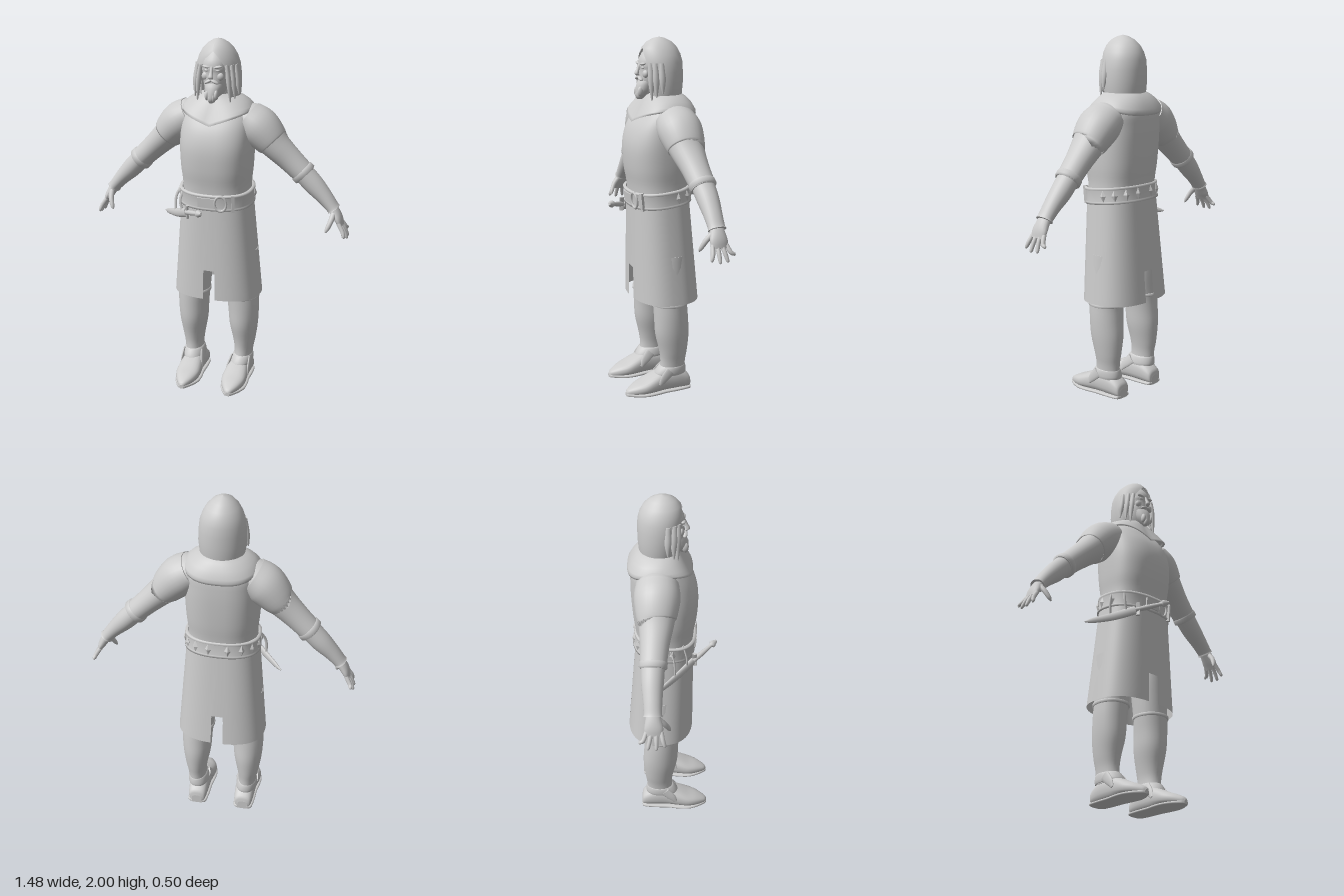
import * as THREE from 'three';

const V = (x, y, z) => new THREE.Vector3(x, y, z);
const UP = V(0, 1, 0), FWD = V(0, 0, 1);
const grey = new THREE.MeshStandardMaterial({ color: 0xcccccc, side: THREE.DoubleSide });
grey.name = 'plain grey';

// Rounded-box cross-section: e = 2 is an ellipse, larger is squarer
function oval(t, e = 2) {
  const f = (a) => Math.sign(a) * Math.pow(Math.abs(a), 2 / e);
  return [f(Math.cos(t)), f(Math.sin(t))];
}

// Skin a list of point rows, optionally wrapped around and capped
function skin(rows, closed = true, caps = false) {
  const pos = [], idx = [], n = rows[0].length;
  rows.forEach((r) => r.forEach((p) => pos.push(p.x, p.y, p.z)));
  for (let i = 0; i < rows.length - 1; i++) {
    for (let j = 0; j < (closed ? n : n - 1); j++) {
      const k = (j + 1) % n, a = i * n + j, b = i * n + k;
      idx.push(a, a + n, b, b, a + n, b + n);
    }
  }
  if (caps) [rows[0], rows[rows.length - 1]].forEach((r, end) => {
    const base = pos.length / 3, c = V(0, 0, 0);
    r.forEach((p) => { pos.push(p.x, p.y, p.z); c.addScaledVector(p, 1 / n); });
    pos.push(c.x, c.y, c.z);
    for (let j = 0; j < n; j++) {
      const a = base + j, b = base + (j + 1) % n;
      idx.push(base + n, end ? b : a, end ? a : b);
    }
  });
  const g = new THREE.BufferGeometry();
  g.setAttribute('position', new THREE.Float32BufferAttribute(pos, 3));
  g.setIndex(idx);
  g.computeVertexNormals();
  return g;
}

// Smooth sweep through sections [cx, cy, cz, ru, rv, squareness]; v is the second axis, w a fixed direction
function sweep(secs, { v = FWD, w = null, n = 28, steps = 4, caps = true } = {}) {
  const path = new THREE.CatmullRomCurve3(secs.map((s) => V(s[0], s[1], s[2])), false, 'catmullrom');
  const size = new THREE.CatmullRomCurve3(secs.map((s) => V(s[3], s[4], s[5] || 2)), false, 'catmullrom');
  const rows = [], m = (secs.length - 1) * steps;
  for (let i = 0; i <= m; i++) {
    const c = path.getPoint(i / m), r = size.getPoint(i / m);
    const d = w || path.getTangent(i / m);
    const u = d.clone().cross(v).normalize();
    const vv = u.clone().cross(d).normalize();
    rows.push(Array.from({ length: n }, (_, j) => {
      const [a, b] = oval((j / n) * Math.PI * 2, r.z);
      return c.clone().addScaledVector(u, a * r.x).addScaledVector(vv, b * r.y);
    }));
  }
  return skin(rows, true, caps);
}

export function createModel() {
  const model = new THREE.Group();
  model.name = 'hoodedMan';
  const add = (name, geo, parent = model) => {
    const mesh = new THREE.Mesh(geo, grey);
    mesh.name = name;
    parent.add(mesh);
    return mesh;
  };
  const ball = (name, p, s, parent = model) => {
    const b = add(name, new THREE.SphereGeometry(1, 16, 12), parent);
    b.position.set(...p);
    b.scale.set(...s);
    return b;
  };
  const upright = (secs) => secs.map(([y, rx, front, back, e, cx = 0]) =>
    [cx, y, (front + back) / 2, rx, (front - back) / 2, e]);

  // Tunic body: [height, half width, front z, back z, squareness]
  add('torso', sweep(upright([[1.09, 0.195, 0.11, -0.195, 2.4], [1.2, 0.19, 0.12, -0.2, 2.4],
    [1.3, 0.198, 0.136, -0.212, 2.5], [1.42, 0.202, 0.14, -0.22, 2.6], [1.52, 0.2, 0.115, -0.222, 2.6],
    [1.6, 0.192, 0.065, -0.215, 2.6], [1.65, 0.16, 0.025, -0.18, 2.3], [1.69, 0.08, 0.01, -0.13, 2]]),
    { w: UP, n: 48 }));
  add('neck', sweep(upright([[1.62, 0.075, 0.02, -0.13], [1.69, 0.065, 0.015, -0.12], [1.78, 0.06, 0.01, -0.11]]), { w: UP }));

  // Shoulder mantle, pointed in front and rolled at the back
  const mantleRows = [[0.1, 0.02], [0, 0], [-0.03, 0.1], [0.0, 0.25], [0.22, 0.55], [0.5, 0.78], [0.8, 0.93], [1, 1]];
  add('mantle', skin(mantleRows.map(([k, j]) => Array.from({ length: 64 }, (_, i) => {
    const t = (i / 64) * Math.PI * 2, [c, s] = oval(t, 2.6), f = Math.sin(t);
    const low = f > 0 ? 1.55 + 0.07 * Math.abs(c) : 1.62 + 0.04 * f;
    const kk = j > 0.02 ? THREE.MathUtils.lerp(k, j, Math.max(0, f)) : k;
    const outer = V(0.195 * c, low, -0.06 + (s > 0 ? 0.172 : 0.175) * s);
    const inner = V(0.08 * Math.cos(t), 1.71, -0.06 + 0.085 * f);
    return V(THREE.MathUtils.lerp(outer.x, inner.x, kk), THREE.MathUtils.lerp(outer.y, inner.y, j),
      THREE.MathUtils.lerp(outer.z, inner.z, kk));
  }))));

  // Skirt in two halves, slit front and back, over a shorter under-skirt
  for (const [name, turn] of [['skirtLeft', 0], ['skirtRight', Math.PI]]) {
    const rows = [];
    for (let i = 0; i <= 16; i++) {
      const y = 0.545 + (i / 16) * 0.585, q = (1.13 - y) / 0.585;
      const rx = 0.2 + 0.05 * q, front = 0.118, back = -0.2 - 0.05 * q;
      const gap = 0.034 * THREE.MathUtils.clamp((1.03 - y) / 0.33, 0, 1);
      const g = Math.asin(Math.pow(gap / rx, 1.25));
      rows.push(Array.from({ length: 33 }, (_, j) => {
        const [a, b] = oval(-Math.PI / 2 + g + (j / 32) * (Math.PI - 2 * g) + turn, 2.5);
        return V(rx * a, y, (front + back) / 2 + (b * (front - back)) / 2);
      }));
    }
    add(name, skin(rows, false));
  }
  add('underSkirt', sweep(upright([[0.715, 0.222, 0.106, -0.222, 2.5], [1.12, 0.188, 0.106, -0.19, 2.5]]),
    { w: UP, n: 48, caps: false }));

  // Belt with raised rims, studs and an oval buckle; it sits higher at the back
  const belt = new THREE.Group();
  belt.name = 'belt';
  belt.position.set(0, 1.142, -0.04);
  belt.rotation.x = 0.1;
  model.add(belt);
  const band = [[-0.045, 0.198], [-0.045, 0.21], [-0.033, 0.21], [-0.03, 0.205], [0.03, 0.205], [0.033, 0.21], [0.045, 0.21], [0.045, 0.195]];
  add('beltBand', sweep(band.map(([y, r]) => [0, y, 0, r, r - 0.037, 2.4]), { w: UP, n: 56, steps: 1, caps: false }), belt);
  for (let i = 0; i < 9; i++) {
    const t = Math.PI + ((i - 0.5) / 8) * Math.PI, [a, b] = oval(t, 2.4);
    const stud = add('beltStud', new THREE.OctahedronGeometry(1), belt);
    stud.position.set(0.207 * a, 0, 0.17 * b);
    stud.scale.set(0.018, 0.034, 0.012);
    stud.rotation.y = Math.PI / 2 - t;
  }
  const buckle = add('buckle', new THREE.TorusGeometry(0.036, 0.007, 8, 28), belt);
  buckle.position.set(0.07, 0, 0.166);
  buckle.rotation.y = 0.12;
  buckle.scale.set(0.9, 1.2, 1);
  const tongue = add('buckleTongue', new THREE.BoxGeometry(0.1, 0.055, 0.012), belt);
  tongue.position.set(-0.01, 0, 0.168);
  const keeper = add('beltKeeper', new THREE.BoxGeometry(0.018, 0.1, 0.02), belt);
  keeper.position.set(0.135, 0, 0.146);
  keeper.rotation.y = 0.4;

  // Dagger slung on the right hip with two hanging straps
  const at = (t, lift = 0) => [-0.33 + 0.33 * t, 0.985 + 0.115 * t + lift, -0.08 + 0.325 * t];
  add('daggerSheath', sweep([[...at(0), 0.003, 0.003], [...at(0.1, -0.004), 0.016, 0.008], [...at(0.35, -0.008), 0.024, 0.011],
    [...at(0.6), 0.026, 0.013]], { v: V(0.7, 0, -0.7), n: 12 }));
  add('daggerGuard', sweep([[...at(0.63, -0.035), 0.01, 0.014], [...at(0.63, 0.04), 0.01, 0.014]], { n: 10, steps: 1 }));
  add('daggerGrip', sweep([[...at(0.6), 0.012, 0.012], [...at(0.75), 0.014, 0.014], [...at(0.9), 0.011, 0.011],
    [...at(0.93), 0.02, 0.02], [...at(1), 0.007, 0.007]], { v: UP, n: 12 }));
  for (const [x0, z0, t] of [[-0.165, 0.06, 0.5], [-0.195, -0.01, 0.3]]) {
    const end = at(t);
    add('daggerStrap', sweep([[x0, 1.18, z0, 0.008, 0.005], [(x0 + end[0]) / 2 - 0.015, 1.11, (z0 + end[2]) / 2 + 0.01, 0.008, 0.005],
      [...end, 0.008, 0.005]], { n: 8 }));
  }

  // Head and face
  const head = new THREE.Group();
  head.name = 'head';
  model.add(head);
  add('face', sweep(upright([[1.69, 0.035, 0.045, -0.06], [1.73, 0.055, 0.06, -0.08], [1.78, 0.067, 0.066, -0.1, 2.2],
    [1.83, 0.072, 0.064, -0.1, 2.2], [1.855, 0.073, 0.067, -0.1, 2.2], [1.9, 0.07, 0.056, -0.1], [1.96, 0.035, 0.01, -0.08]]), { w: UP }), head);
  add('nose', sweep([[0, 1.865, 0.06, 0.008, 0.008], [0, 1.835, 0.072, 0.009, 0.009], [0, 1.81, 0.081, 0.014, 0.012],
    [0, 1.798, 0.07, 0.01, 0.008]], { w: UP, n: 14 }), head);
  for (const s of [1, -1]) {
    ball('brow', [0.03 * s, 1.862, 0.056], [0.026, 0.008, 0.014], head).rotation.z = 0.15 * s;
    ball('eye', [0.029 * s, 1.843, 0.055], [0.014, 0.007, 0.01], head);
    ball('cheek', [0.04 * s, 1.81, 0.045], [0.022, 0.022, 0.016], head);
    ball('moustache', [0.018 * s, 1.785, 0.066], [0.024, 0.009, 0.014], head).rotation.z = -0.45 * s;
  }
  add('beard', sweep(upright([[1.67, 0.008, 0.075, 0.05], [1.69, 0.025, 0.086, 0.02], [1.72, 0.042, 0.085, -0.01],
    [1.75, 0.05, 0.078, -0.02], [1.775, 0.055, 0.066, -0.03]]), { w: UP, n: 20 }), head);
  for (const [x, y] of [[-0.025, 1.69], [-0.008, 1.675], [0.012, 1.68], [0.027, 1.695]])
    ball('beardCurl', [x, y + 0.02, 0.068], [0.012, 0.027, 0.018], head);

  // Hood-like hair open at the face: [height, half width, front z, back z, half opening]
  const hair = [[1.64, 0.11, 0.03, -0.165, 0.085], [1.7, 0.12, 0.045, -0.175, 0.084], [1.76, 0.126, 0.055, -0.18, 0.083],
    [1.82, 0.124, 0.062, -0.18, 0.077], [1.87, 0.118, 0.063, -0.178, 0.062], [1.91, 0.105, 0.059, -0.167, 0.036],
    [1.945, 0.085, 0.046, -0.148, 0], [1.975, 0.056, 0.02, -0.118, 0], [1.993, 0.027, -0.015, -0.082, 0], [2, 0.001, -0.048, -0.052, 0]];
  for (const [name, inset] of [['hair', 0], ['hairLining', 0.012]]) {
    add(name, skin(hair.slice(0, inset ? 8 : 10).map(([y, rx, front, back, gap]) => {
      const g = Math.asin(gap / rx);
      return Array.from({ length: 49 }, (_, j) => {
        const t = Math.PI / 2 + g + (j / 48) * (Math.PI * 2 - 2 * g);
        return V((rx - inset) * Math.cos(t), y, (front + back) / 2 + ((front - back) / 2 - inset) * Math.sin(t));
      });
    }), false), head);
  }
  for (const s of [1, -1]) for (const [x, z, y] of [[0.085, 0.03, 1.67], [0.105, 0.01, 1.69], [0.12, -0.02, 1.71]])
    add('hairLock', sweep([[s * (x - 0.012), 1.87, z, 0.01, 0.014], [s * x, 1.78, z, 0.014, 0.018],
      [s * (x + 0.008), y, z, 0.003, 0.004]], { n: 10 }), head);

  for (const s of [1, -1]) {
    const side = s > 0 ? 'left' : 'right';
    const mir = (secs) => secs.map(([x, ...rest]) => [x * s, ...rest]);

    // Arm: sleeve, rolled shoulder cap, elbow cuff and bracer
    const arm = new THREE.Group();
    arm.name = side + 'Arm';
    model.add(arm);
    add('sleeve', sweep(mir([[0.13, 1.575, -0.075, 0.085, 0.1], [0.215, 1.535, -0.075, 0.105, 0.115], [0.315, 1.435, -0.078, 0.08, 0.094],
      [0.4, 1.355, -0.085, 0.068, 0.076], [0.49, 1.27, -0.092, 0.061, 0.068]])), arm);
    add('shoulderCap', sweep(mir([[0.16, 1.57, -0.075, 0.098, 0.112], [0.23, 1.523, -0.075, 0.11, 0.121], [0.3, 1.452, -0.078, 0.092, 0.105],
      [0.31, 1.442, -0.078, 0.08, 0.094]]), {}), arm);
    add('elbowCuff', sweep(mir([[0.462, 1.297, -0.09, 0.06, 0.066], [0.467, 1.292, -0.09, 0.069, 0.073], [0.486, 1.274, -0.092, 0.07, 0.073],
      [0.491, 1.269, -0.092, 0.055, 0.06]]), { steps: 1 }), arm);
    add('bracer', sweep(mir([[0.475, 1.285, -0.092, 0.057, 0.062], [0.54, 1.218, -0.094, 0.055, 0.058], [0.6, 1.157, -0.092, 0.044, 0.05],
      [0.645, 1.105, -0.09, 0.036, 0.046], [0.655, 1.092, -0.09, 0.038, 0.05]])), arm);

    // Hand with fanned fingers and a thumb
    add('palm', sweep(mir([[0.635, 1.118, -0.09, 0.026, 0.034], [0.665, 1.075, -0.088, 0.026, 0.042], [0.685, 1.04, -0.086, 0.022, 0.049],
      [0.7, 1.005, -0.086, 0.013, 0.045]]), { n: 18 }), arm);
    const fingers = [[-0.048, -0.03, 0.727, 0.948], [-0.073, -0.072, 0.735, 0.936], [-0.098, -0.114, 0.733, 0.938], [-0.122, -0.155, 0.722, 0.965]];
    for (const [z0, z1, x1, y1] of fingers)
      add('finger', sweep(mir([[0.69, 1.025, z0, 0.012, 0.012], [0.715, 0.985, (z0 + z1) / 2, 0.012, 0.0115],
        [x1 - 0.002, y1 + 0.01, z1, 0.009, 0.009], [x1, y1, z1, 0.003, 0.003]]), { n: 10 }), arm);
    add('thumb', sweep(mir([[0.66, 1.075, -0.06, 0.017, 0.016], [0.652, 1.04, -0.03, 0.015, 0.014], [0.637, 1.0, -0.01, 0.012, 0.011],
      [0.628, 0.98, -0.003, 0.004, 0.004]]), { n: 10 }), arm);

    // Leg, ankle cuff, shoe and sole
    const leg = new THREE.Group();
    leg.name = side + 'Leg';
    model.add(leg);
    const x = (secs) => secs.map(([y, rx, f, b, e, cx]) => [y, rx, f, b, e, cx * s]);
    add('shin', sweep(upright(x([[0.82, 0.095, 0.05, -0.17, 2, 0.135], [0.7, 0.098, 0.045, -0.165, 2, 0.138], [0.55, 0.093, 0.04, -0.155, 2, 0.146],
      [0.45, 0.088, 0.036, -0.16, 2, 0.152], [0.35, 0.081, 0.03, -0.166, 2, 0.153], [0.25, 0.064, 0.008, -0.158, 2, 0.155],
      [0.18, 0.053, 0, -0.148, 2, 0.153], [0.1, 0.052, 0.01, -0.145, 2, 0.148]]).reverse()), { w: UP }), leg);
    add('bootTop', sweep(upright(x([[0.525, 0.092, 0.04, -0.156, 2, 0.147], [0.528, 0.098, 0.046, -0.162, 2, 0.147],
      [0.542, 0.098, 0.046, -0.162, 2, 0.147], [0.545, 0.09, 0.038, -0.154, 2, 0.147]])), { w: UP, steps: 1 }), leg);
    add('ankleCuff', sweep(upright(x([[0.105, 0.06, 0.035, -0.152, 2.2, 0.146], [0.12, 0.062, 0.032, -0.154, 2.2, 0.147],
      [0.15, 0.057, 0.012, -0.15, 2, 0.15], [0.158, 0.05, 0, -0.145, 2, 0.15]])), { w: UP, steps: 2 }), leg);
    const shoe = [[-0.178, 0.03, 0.05], [-0.165, 0.05, 0.085], [-0.1, 0.058, 0.125], [-0.02, 0.06, 0.13], [0.04, 0.068, 0.108],
      [0.1, 0.069, 0.08], [0.15, 0.052, 0.06], [0.195, 0.024, 0.036], [0.208, 0.008, 0.02]];
    add('shoe', sweep(shoe.map(([z, r, h]) => [0.14 * s, h / 2 + 0.004, z, r, h / 2, 2.5]), { v: UP, w: FWD, n: 24 }), leg);
    add('sole', sweep(shoe.map(([z, r]) => [0.14 * s, 0.009, z, r + 0.004, 0.009, 4]), { v: UP, w: FWD, n: 20 }), leg);
    for (const d of [1, -1])
      add('ankleFlap', sweep([[(0.147 + 0.056 * d) * s, 0.135, -0.04, 0.008, 0.03], [(0.143 + 0.062 * d) * s, 0.095, 0, 0.008, 0.024],
        [(0.14 + 0.066 * d) * s, 0.06, 0.025, 0.005, 0.01]], { n: 12 }), leg);
  }
  return model;
}
